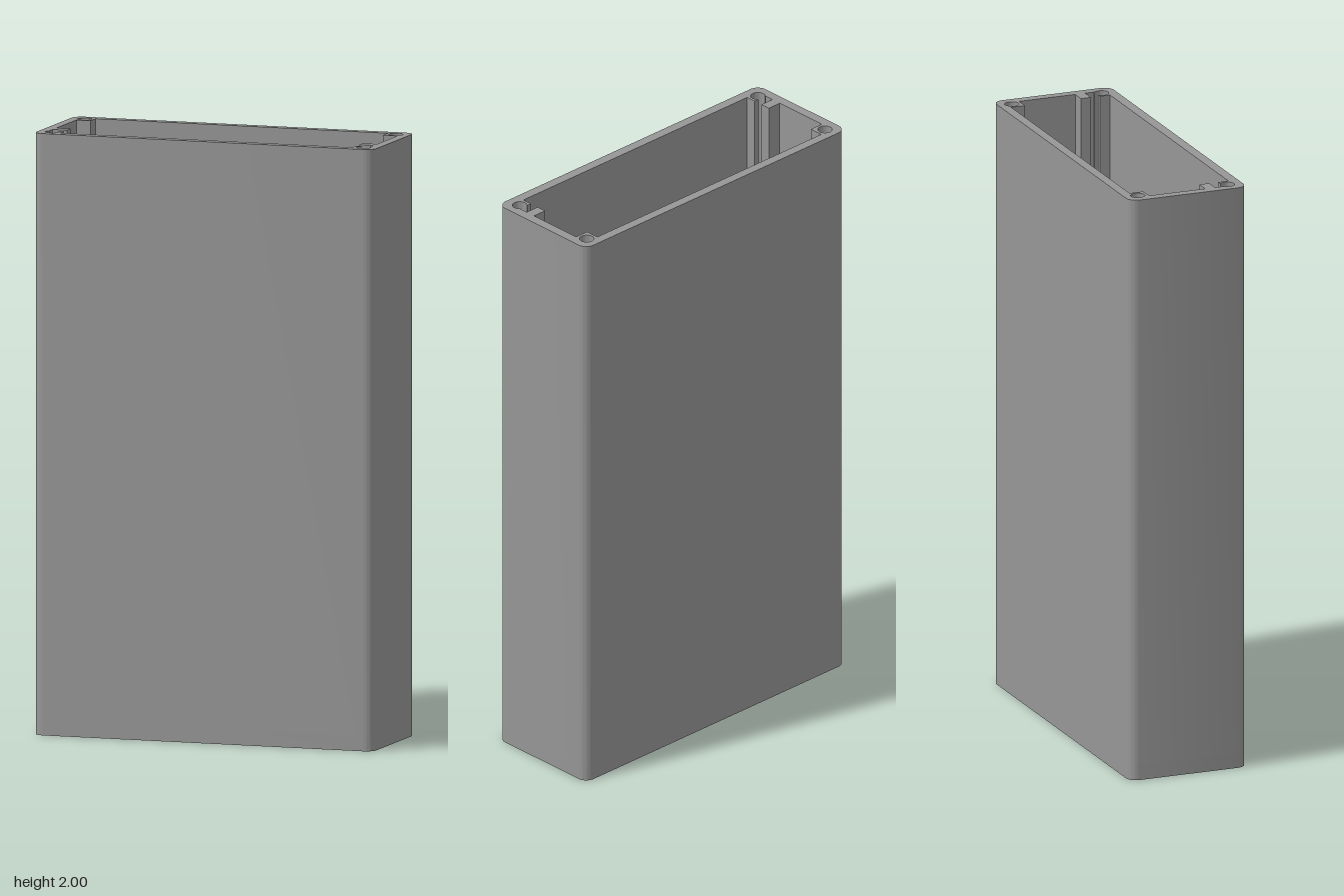
import * as THREE from 'three';
import { toCreasedNormals } from 'three/addons/utils/BufferGeometryUtils.js';

const W = 0.593, D = 0.209, R = 0.035, H = 2, FLOOR = 0.05;
const HOLE_X = 0.543, HOLE_Z = 0.158, HOLE_R = 0.024;

// Rounded rectangular outline of the case, drawn in x and z
function outline() {
  const s = new THREE.Shape();
  s.absarc(W - R, D - R, R, 0, Math.PI / 2);
  s.absarc(-W + R, D - R, R, Math.PI / 2, Math.PI);
  s.absarc(-W + R, -D + R, R, Math.PI, Math.PI * 1.5);
  s.absarc(W - R, -D + R, R, Math.PI * 1.5, Math.PI * 2);
  s.closePath();
  return s;
}

function pathFrom(points) {
  return new THREE.Path(points.map(([x, z]) => new THREE.Vector2(x, z)));
}

// Cavity with corner posts and guide ribs; the front screw holes open into the slots
function cavity() {
  const edge = 0.139;
  const a = Math.asin((edge - HOLE_Z) / HOLE_R);
  const half = [
    [0.51, -0.177], [0.51, -0.128], [0.56, -0.128], [0.56, 0.072],
    [0.51, 0.072], [0.51, 0.107], [0.56, 0.107], [0.56, edge],
  ];
  for (let i = 0; i <= 20; i++) {
    const t = a + (Math.PI - 2 * a) * i / 20;
    half.push([HOLE_X + HOLE_R * Math.cos(t), HOLE_Z + HOLE_R * Math.sin(t)]);
  }
  half.push([0.51, edge], [0.51, 0.175]);
  const mirrored = half.map(([x, z]) => [-x, z]).reverse();
  return pathFrom([...half, ...mirrored]);
}

// Upright extrusion between two heights
function upright(shape, bottom, top, name, material) {
  const geo = new THREE.ExtrudeGeometry(shape, { depth: top - bottom, bevelEnabled: false, curveSegments: 10 });
  geo.rotateX(Math.PI / 2);
  geo.translate(0, top, 0);
  const mesh = new THREE.Mesh(toCreasedNormals(geo, 0.6), material);
  mesh.name = name;
  return mesh;
}

export function createModel() {
  const group = new THREE.Group();
  group.name = 'enclosure';
  const grey = new THREE.MeshStandardMaterial({ color: 0x969696 });
  grey.name = 'grey plastic';

  // Walls with posts, ribs and the two back screw holes
  const walls = outline();
  walls.holes.push(cavity());
  for (const side of [-1, 1]) {
    const hole = new THREE.Path();
    hole.absarc(side * HOLE_X, -0.161, HOLE_R, 0, Math.PI * 2, true);
    walls.holes.push(hole);
  }
  group.add(upright(walls, FLOOR, H, 'walls', grey));

  // Floor with its rectangular cable opening
  const floor = outline();
  floor.holes.push(pathFrom([[-0.12, -0.085], [-0.12, 0.107], [0.031, 0.107], [0.031, -0.085]]));
  group.add(upright(floor, 0, FLOOR, 'floor', grey));

  return group;
}
